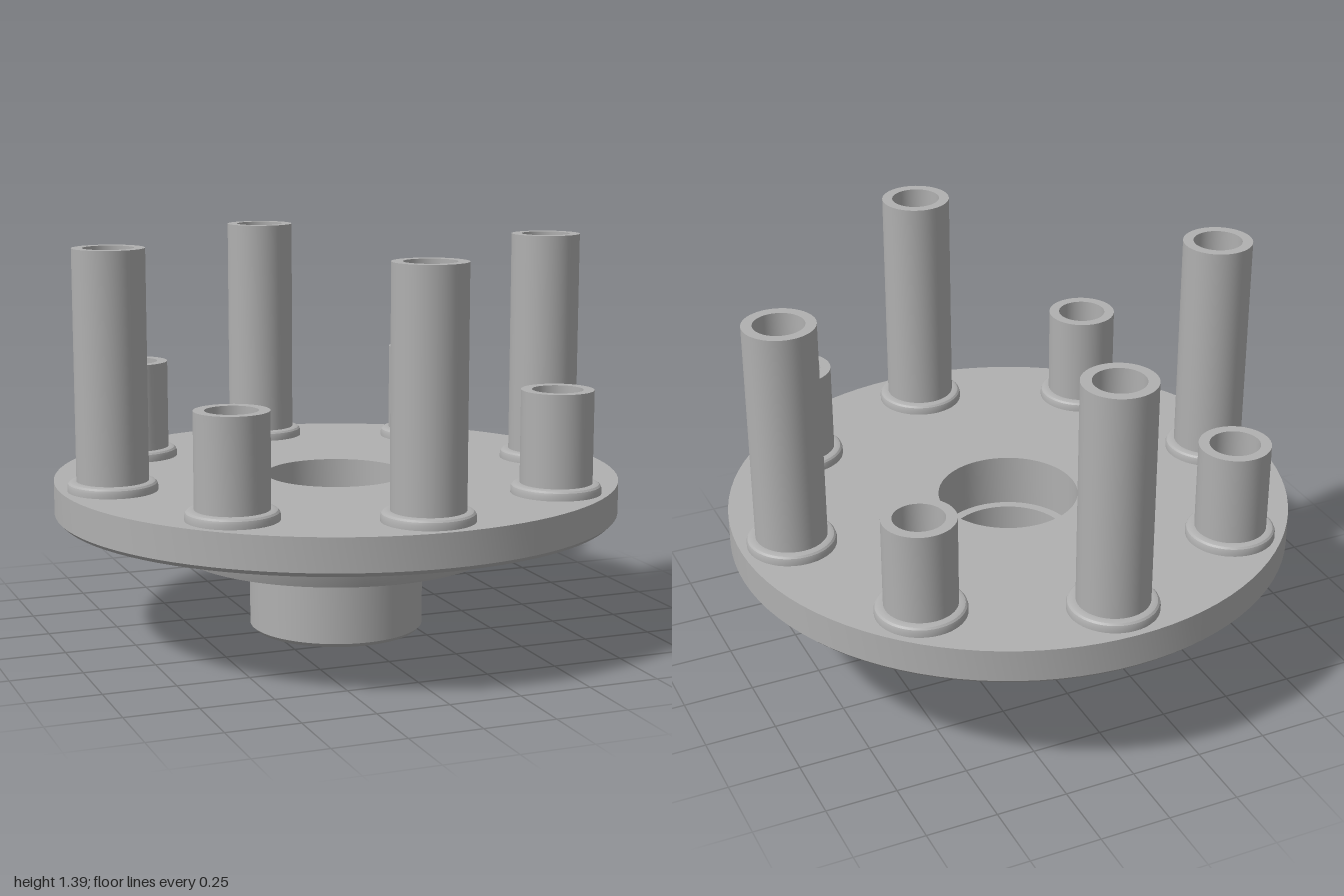
import * as THREE from 'three';
import { toCreasedNormals } from 'three/addons/utils/BufferGeometryUtils.js';

const BOTTOM = 0.43, TOP = 0.56;   // flange faces
const CORE = 0.625;                // radius where the core meets the flange plate
const PITCH = 0.82, HOLE = 0.136;  // post circle and clearance holes

export function createModel() {
  const model = new THREE.Group();
  const metal = new THREE.MeshStandardMaterial({ color: 0xb0b0b0 });
  metal.name = 'grey metal';

  const add = (name, geometry) => {
    const mesh = new THREE.Mesh(toCreasedNormals(geometry, 0.4), metal);
    mesh.name = name;
    model.add(mesh);
    return mesh;
  };
  // Profiles run up the outside and down the inside
  const lathe = (points, segments) =>
    new THREE.LatheGeometry(points.map(([r, y]) => new THREE.Vector2(r, y)), segments);
  const circle = (x, y, r) => new THREE.Path().absarc(x, y, r, 0, Math.PI * 2, true);

  // Flange plate with eight clearance holes
  const plate = new THREE.Shape().absarc(0, 0, 0.985, 0, Math.PI * 2, false);
  plate.holes.push(circle(0, 0, CORE));
  for (let i = 0; i < 8; i++) {
    const a = i * Math.PI / 4;
    plate.holes.push(circle(PITCH * Math.cos(a), PITCH * Math.sin(a), HOLE));
  }
  const plateGeometry = new THREE.ExtrudeGeometry(plate, {
    depth: TOP - BOTTOM, bevelEnabled: false, curveSegments: 48,
  });
  plateGeometry.rotateX(-Math.PI / 2).translate(0, BOTTOM, 0);
  add('flangePlate', plateGeometry);

  // Outer edge of the flange, chamfered below
  add('flangeRim', lathe([[0.985, BOTTOM], [1, 0.445], [1, TOP], [0.985, TOP]], 96));

  // Hub, recess, tapered skirt and stepped bore in one turned piece
  add('hubAndSkirt', lathe([
    [0.217, 0], [0.295, 0], [0.31, 0.015], [0.31, 0.5],
    [0.51, 0.5], [0.51, 0.285], [0.565, 0.285], [CORE, BOTTOM],
    [CORE, TOP], [0.25, TOP], [0.25, 0.37], [0.217, 0.37], [0.217, 0],
  ], 96));

  // Hollow posts with rounded collars: tall on the axes, short between them
  const post = (top) => lathe([
    [0.155, TOP], [0.155, 0.577], [0.152, 0.586], [0.146, 0.592], [0.137, 0.595],
    [0.124, 0.595], [0.124, top], [0.087, top], [0.087, 0.62], [HOLE, 0.57], [HOLE, TOP],
  ], 48);
  for (let i = 0; i < 8; i++) {
    const a = i * Math.PI / 4;
    const tall = i % 2 === 0;
    const mesh = add(tall ? 'tallPost' : 'shortPost', post(tall ? 1.39 : 0.915));
    mesh.position.set(PITCH * Math.cos(a), 0, PITCH * Math.sin(a));
  }

  return model;
}
